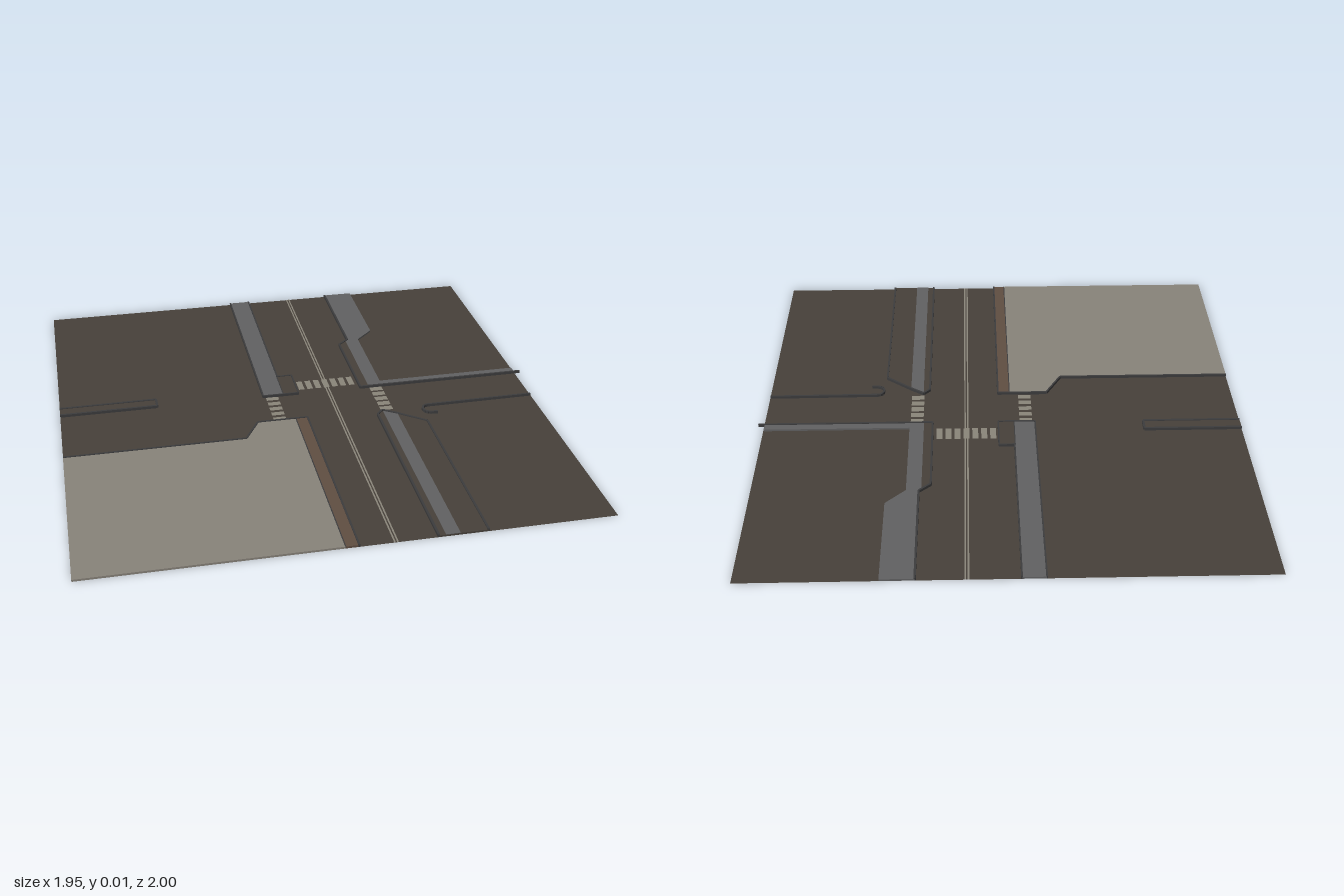
import * as THREE from 'three';

const mat = (name, color, side = THREE.FrontSide) => {
  const m = new THREE.MeshStandardMaterial({ color, side });
  m.name = name;
  return m;
};

export function createModel() {
  const root = new THREE.Group();
  root.name = 'streetCrossing';

  const asphalt = mat('asphalt', 0x47413a, THREE.DoubleSide);
  const paving = mat('pavingGrey', 0x616162);
  const concrete = mat('lotConcrete', 0x88837a);
  const brick = mat('brickBrown', 0x604e42);
  const kerbStone = mat('kerbStone', 0x3c3c3d);
  const paint = mat('roadPaint', 0x8a857a, THREE.DoubleSide);

  const add = (name, geometry, material, parent = root) => {
    const mesh = new THREE.Mesh(geometry, material);
    mesh.name = name;
    parent.add(mesh);
    return mesh;
  };

  // Raised slab from an outline of [x, z] points
  const slab = (name, points, material, height = 0.008) => {
    const shape = new THREE.Shape(points.map(([x, z]) => new THREE.Vector2(x, -z)));
    const geo = new THREE.ExtrudeGeometry(shape, { depth: height, bevelEnabled: false });
    add(name, geo.rotateX(-Math.PI / 2), material);
  };
  const rect = (x0, z0, x1, z1) => [[x0, z0], [x1, z0], [x1, z1], [x0, z1]];

  // Kerb of short boxes following [x, z] points
  const kerb = (name, points, width = 0.009, height = 0.011) => {
    const group = new THREE.Group();
    group.name = name;
    for (let i = 0; i + 1 < points.length; i++) {
      const [x0, z0] = points[i], [x1, z1] = points[i + 1];
      const dx = x1 - x0, dz = z1 - z0;
      const geo = new THREE.BoxGeometry(Math.hypot(dx, dz), height, width);
      const mesh = add('kerbStretch', geo, kerbStone, group);
      mesh.position.set((x0 + x1) / 2, height / 2, (z0 + z1) / 2);
      mesh.rotation.y = -Math.atan2(dz, dx);
    }
    root.add(group);
  };

  // Thin painted plate on the road
  const plate = (name, x0, z0, x1, z1) => {
    const geo = new THREE.PlaneGeometry(x1 - x0, z1 - z0).rotateX(-Math.PI / 2);
    add(name, geo, paint).position.set((x0 + x1) / 2, 0.0015, (z0 + z1) / 2);
  };

  // Ground
  add('ground', new THREE.PlaneGeometry(1.93, 2).rotateX(-Math.PI / 2), asphalt)
    .position.set(-0.013, 0, 0);

  // Back left: pavement, corner planter and side island
  slab('backLeftPavement', rect(-0.145, -1, -0.06, -0.085), paving);
  slab('cornerPlanter', rect(-0.06, -0.24, 0.005, -0.085), asphalt);
  kerb('backLeftKerb', [[-0.145, -1], [-0.145, -0.085], [0.004, -0.085],
    [0.004, -0.24], [-0.058, -0.24], [-0.058, -1]], 0.006);
  kerb('planterKerb', [[-0.06, -0.24], [-0.06, -0.085]], 0.004, 0.009);
  slab('sideIsland', rect(-0.978, -0.145, -0.585, -0.092), asphalt);
  kerb('islandKerb', [[-0.978, -0.145], [-0.585, -0.145], [-0.585, -0.092], [-0.978, -0.092]]);

  // Front left: concrete lot with brick edge
  slab('concreteLot', [[-0.978, 0.235], [-0.265, 0.235], [-0.2, 0.12],
    [-0.047, 0.12], [-0.047, 1], [-0.978, 1]], concrete);
  slab('brickEdge', rect(-0.047, 0.12, 0, 1), brick);
  kerb('lotKerb', [[-0.978, 0.232], [-0.267, 0.232], [-0.202, 0.118], [0.001, 0.118], [0.001, 1]], 0.007);
  kerb('brickKerb', [[-0.047, 0.12], [-0.047, 1]], 0.004, 0.009);

  // Back right: widening pavement, verge and side branch
  slab('backRightPavement', [[0.315, -1], [0.44, -1], [0.44, -0.59], [0.363, -0.515],
    [0.363, -0.12], [0.95, -0.12], [0.95, -0.085], [0.305, -0.085], [0.305, -0.51], [0.315, -0.52]], paving);
  slab('backRightVerge', [[0.315, -0.52], [0.305, -0.51], [0.305, -0.085], [0.27, -0.085], [0.27, -0.48]], asphalt);
  kerb('backRightKerb', [[0.315, -1], [0.315, -0.52], [0.27, -0.48], [0.27, -0.085], [0.975, -0.085]], 0.008);

  // Front right: verge with pavement strip
  const verge = [[0.286, 1], [0.286, 0.15], [0.312, 0.122], [0.36, 0.155], [0.468, 0.24], [0.468, 1]];
  slab('frontRightVerge', verge, asphalt, 0.007);
  slab('frontRightPavement', [[0.312, 0.13], [0.365, 0.165], [0.365, 1], [0.312, 1]], paving, 0.0085);
  kerb('frontRightKerb', verge, 0.008);

  // Kerb with a hooked end along the side street
  const hook = [[0.95, 0.112], [0.505, 0.115]];
  for (let i = 1; i <= 7; i++) {
    const a = (i / 7) * Math.PI;
    hook.push([0.505 - 0.028 * Math.sin(a), 0.145 - 0.03 * Math.cos(a)]);
  }
  hook.push([0.53, 0.176]);
  kerb('hookedKerb', hook, 0.008);

  // Double centre line
  plate('centreLineLeft', 0.125, -1, 0.131, 1);
  plate('centreLineRight', 0.136, -1, 0.142, 1);

  // Zebra crossings
  for (let i = 0; i < 7; i++) {
    const x = 0.014 + i * 0.036;
    plate('backCrossingStripe', x, -0.19, x + 0.024, -0.12);
  }
  for (let i = 0; i < 5; i++) {
    const z = -0.08 + i * 0.041;
    plate('leftCrossingStripe', -0.135, z, -0.083, z + 0.025);
    plate('rightCrossingStripe', 0.308, z, 0.36, z + 0.029);
  }

  return root;
}
